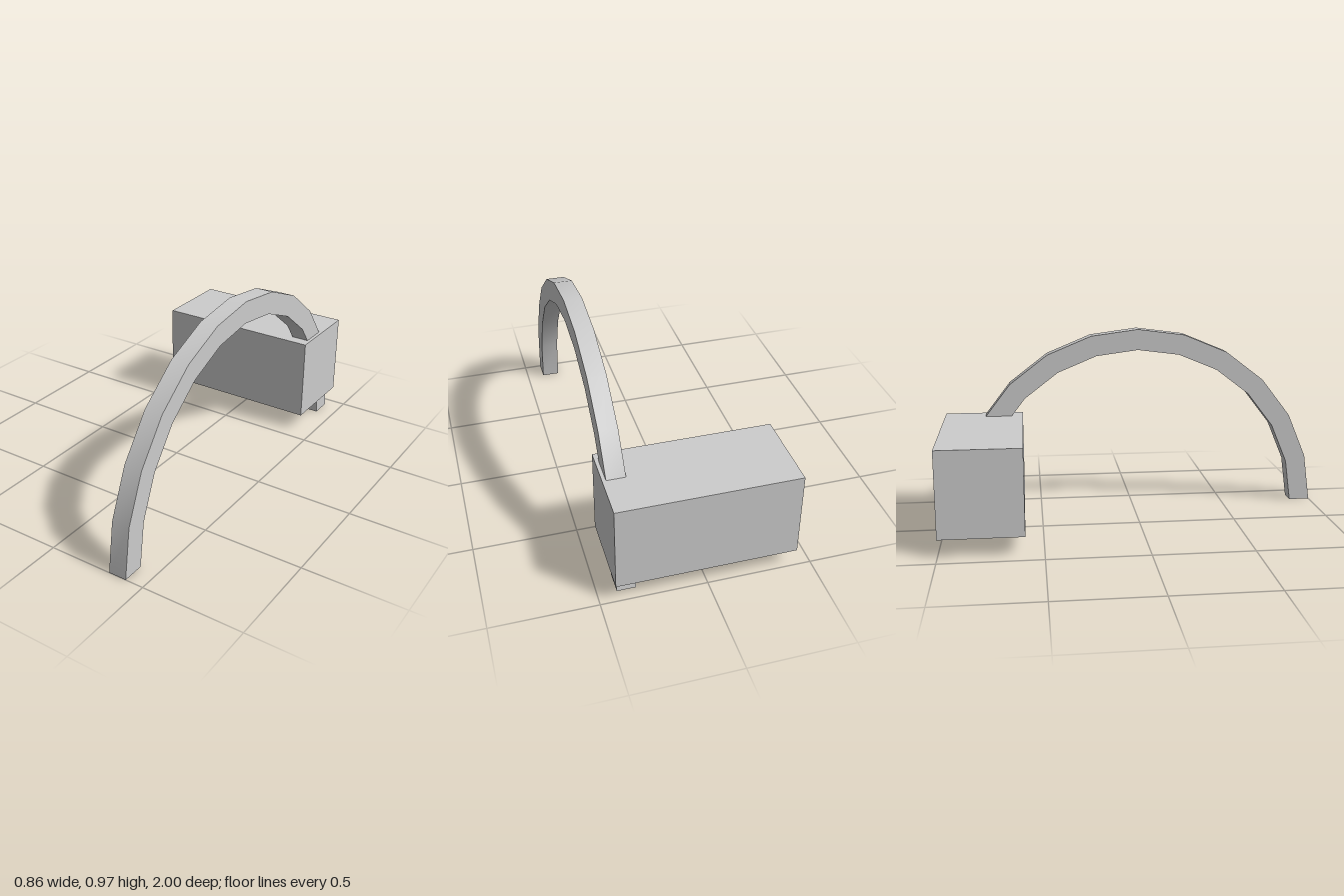
import * as THREE from 'three';
import { toCreasedNormals } from 'three/addons/utils/BufferGeometryUtils.js';

export function createModel() {
  const model = new THREE.Group();
  const grey = new THREE.MeshStandardMaterial({ color: 0xcccccc });
  grey.name = 'light grey';

  // Half-ring arch of square section, twelve straight segments
  const segments = 12, outer = 0.97, inner = 0.86, width = 0.09;
  const ring = (radius) => Array.from({ length: segments + 1 }, (_, i) => {
    const a = (i / segments) * Math.PI;
    return new THREE.Vector2(Math.cos(a) * radius, Math.sin(a) * radius);
  });
  const profile = new THREE.Shape([...ring(outer), ...ring(inner).reverse()]);
  const archGeometry = new THREE.ExtrudeGeometry(profile, { depth: width, bevelEnabled: false });
  archGeometry.rotateY(-Math.PI / 2); // the arch spans front to back
  const arch = new THREE.Mesh(toCreasedNormals(archGeometry, Math.PI / 6), grey);
  arch.name = 'arch';
  arch.position.set(0.41, 0, 0.03);
  model.add(arch);

  // Block threaded on the rear leg of the arch
  const block = new THREE.Mesh(new THREE.BoxGeometry(0.855, 0.427, 0.41), grey);
  block.name = 'block';
  block.position.set(0, 0.303, -0.795);
  model.add(block);

  return model;
}
